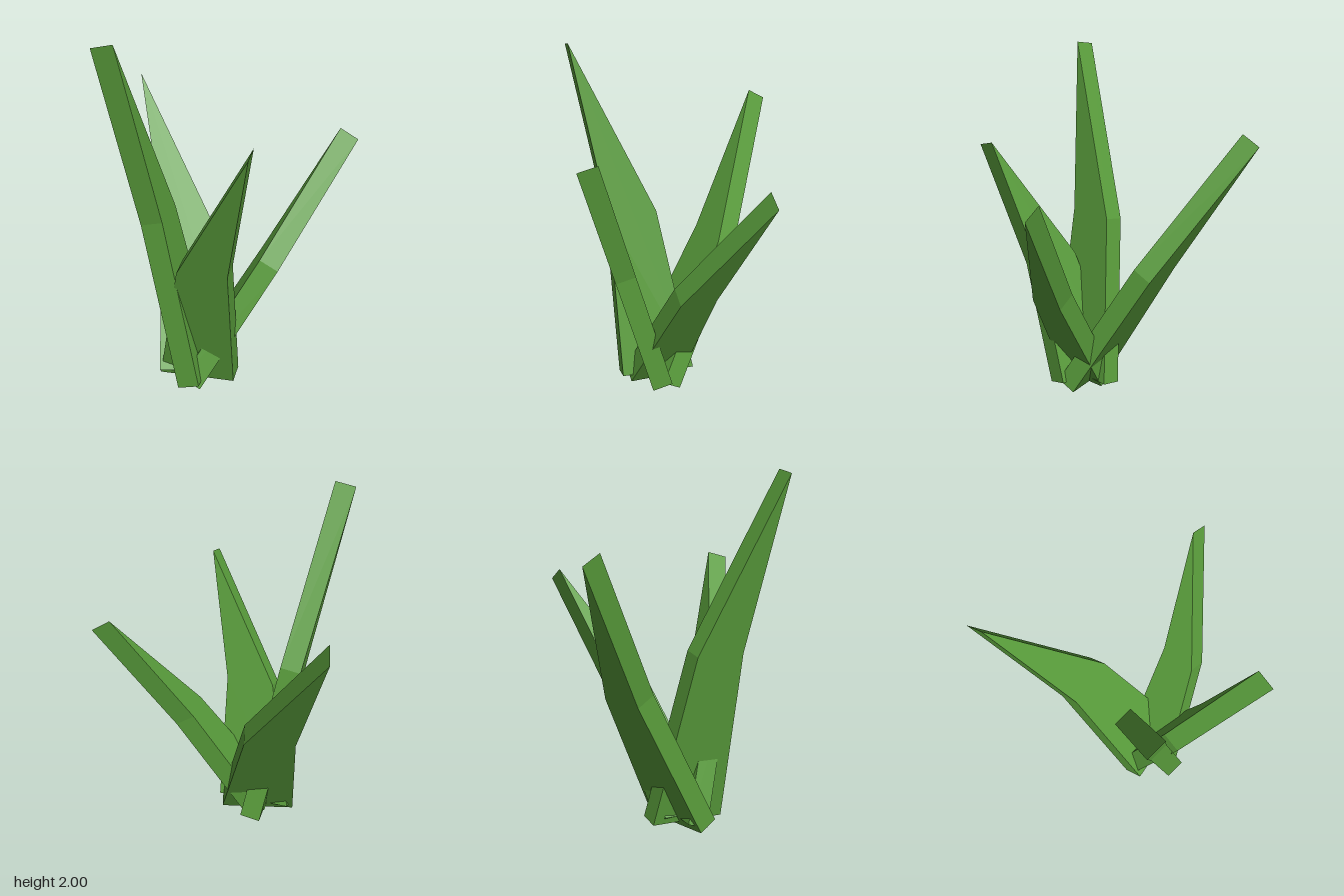
import * as THREE from 'three';

const THICKNESS = 0.12;

// Blade outline: straight to half height, then sweeping sideways to a sharp tip (unit length)
const TIP_SWEEP = 0.14;
const outline = new THREE.Shape([
  [0, 0], [0.435, 0], [0.285, 0.5], [-TIP_SWEEP, 1], [0, 0.5],
].map(([x, y]) => new THREE.Vector2(x, y)));

// base: outer bottom corner on the swept side; tip: outer tip corner;
// sweep: horizontal direction the tip bends towards; width: outline width factor
const blades = [
  { name: 'backBlade', base: [-0.435, 0, 0.145], tip: [-0.62, 1.55, -0.72], sweep: [-1, 0, 0.08], width: 1 },
  { name: 'rightBlade', base: [-0.305, 0.025, 0.385], tip: [-0.69, 1.98, 0.52], sweep: [-0.14, 0, 1], width: 1 },
  { name: 'frontBlade', base: [0, 0.02, 0.28], tip: [0.1, 1.475, 0.72], sweep: [1, 0, 0.2], width: 1 },
  { name: 'leftBlade', base: [-0.17, 0, 0.025], tip: [0.685, 1.345, -0.155], sweep: [0.05, 0, -1], width: 0.75 },
];

function makeBlade({ name, base, tip, sweep, width }, material) {
  const origin = new THREE.Vector3(...base);
  const side = new THREE.Vector3(...sweep).normalize().multiplyScalar(width);
  const rise = new THREE.Vector3(...tip).sub(origin).addScaledVector(side, -TIP_SWEEP);
  const inward = rise.clone().cross(side).normalize();

  // Stand the flat outline along its leaning axes
  const geometry = new THREE.ExtrudeGeometry(outline, { depth: THICKNESS, bevelEnabled: false });
  const frame = new THREE.Matrix4().makeBasis(side.clone().negate(), rise, inward).setPosition(origin);
  geometry.applyMatrix4(frame);
  geometry.computeVertexNormals();

  const mesh = new THREE.Mesh(geometry, material);
  mesh.name = name;
  return mesh;
}

export function createModel() {
  const leafGreen = new THREE.MeshStandardMaterial({ color: 0x5a9e3c, flatShading: true });
  leafGreen.name = 'leafGreen';

  const group = new THREE.Group();
  group.name = 'grassTuft';
  for (const blade of blades) group.add(makeBlade(blade, leafGreen));
  return group;
}
